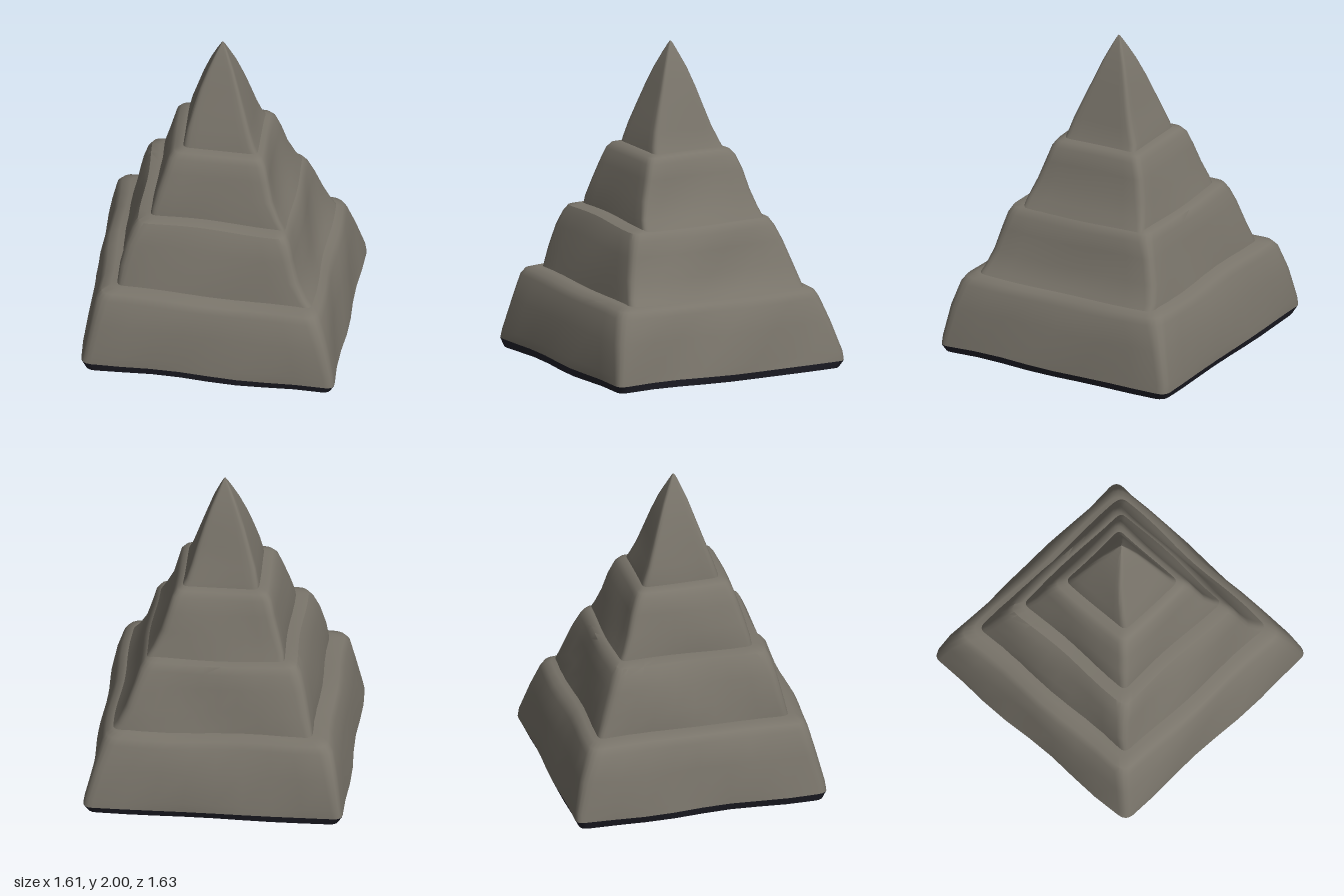
import * as THREE from 'three';
import { toCreasedNormals } from 'three/addons/utils/BufferGeometryUtils.js';

const EDGE = 8, ARC = 4;

// One worn, rounded, slightly skewed square outline.
// y: height, tilt: rise per unit of x, then the x and z limits and corner radius
function ring([y, tilt, x0, x1, z0, z1, r]) {
  const corners = [
    new THREE.Vector2(x0, z0),
    new THREE.Vector2(x0 * 0.94, z1 * 0.95),
    new THREE.Vector2(x1, z1),
    new THREE.Vector2(x1 * 0.985, z0 * 0.97),
  ];
  const pts = [];
  const toward = (a, b) => a.clone().add(b.clone().sub(a).setLength(r));
  for (let i = 0; i < 4; i++) {
    const prev = corners[(i + 3) % 4], c = corners[i], next = corners[(i + 1) % 4];
    const arc = new THREE.QuadraticBezierCurve(toward(c, prev), c, toward(c, next));
    pts.push(...arc.getPoints(ARC));
    const start = toward(c, next), end = toward(next, c);
    for (let k = 1; k < EDGE; k++) pts.push(start.clone().lerp(end, k / EDGE));
  }
  // Gentle hand-carved waviness that fades toward the tip
  const amp = 0.008 * Math.min(1, x1 * 2);
  return pts.map(({ x, y: z }) => new THREE.Vector3(
    x + amp * Math.sin(z * 8 + y * 9),
    y + tilt * x + amp * 0.6 * Math.sin(x * 7 + z * 5),
    z + amp * Math.sin(x * 7 - y * 8)));
}

// Skin a stack of outlines from bottom to top, with optional end caps
function loft(rows, { top = false, bottom = false } = {}) {
  const rings = rows.map(ring), n = rings[0].length;
  const pos = rings.flat().flatMap((p) => p.toArray());
  const index = [];
  for (let i = 0; i < rings.length - 1; i++) {
    for (let j = 0; j < n; j++) {
      const a = i * n + j, b = i * n + (j + 1) % n;
      index.push(a, b, b + n, a, b + n, a + n);
    }
  }
  const cap = (row, up) => {
    const mid = new THREE.Vector3();
    rings[row].forEach((p) => mid.addScaledVector(p, 1 / n));
    const c = pos.length / 3;
    pos.push(...mid.toArray());
    for (let j = 0; j < n; j++) {
      const a = row * n + j, b = row * n + (j + 1) % n;
      index.push(...(up ? [c, a, b] : [c, b, a]));
    }
  };
  if (top) cap(rings.length - 1, true);
  if (bottom) cap(0, false);
  const g = new THREE.BufferGeometry();
  g.setAttribute('position', new THREE.Float32BufferAttribute(pos, 3));
  g.setIndex(index);
  return toCreasedNormals(g, 0.7);
}

export function createModel() {
  const stone = new THREE.MeshStandardMaterial({ color: 0x79746a });
  stone.name = 'weathered stone';
  const dark = new THREE.MeshStandardMaterial({ color: 0x23232d });
  dark.name = 'dark underside';

  const group = new THREE.Group();
  group.name = 'steppedPyramid';
  const add = (name, material, rows, caps) => {
    const mesh = new THREE.Mesh(loft(rows, caps), material);
    mesh.name = name;
    group.add(mesh);
  };

  const lowerEdge = [0.075, -0.025, -0.81, 0.805, -0.815, 0.82, 0.06];

  // Dark chamfer and flat underside
  add('underside', dark, [
    [0.025, -0.02, -0.78, 0.785, -0.79, 0.8, 0.06],
    lowerEdge,
  ], { bottom: true });

  // Broad base step
  add('baseStep', stone, [
    lowerEdge,
    [0.13, -0.025, -0.802, 0.795, -0.81, 0.815, 0.06],
    [0.32, -0.03, -0.765, 0.755, -0.765, 0.775, 0.07],
    [0.47, -0.04, -0.725, 0.715, -0.715, 0.735, 0.08],
    [0.51, -0.04, -0.695, 0.69, -0.69, 0.71, 0.08],
    [0.53, -0.04, -0.64, 0.65, -0.65, 0.66, 0.08],
    [0.54, -0.03, -0.5, 0.5, -0.5, 0.5, 0.06],
  ], { top: true });

  // Second step, its right foot flaring into the ledge below
  add('secondStep', stone, [
    [0.5, -0.03, -0.605, 0.665, -0.625, 0.635, 0.05],
    [0.56, -0.03, -0.597, 0.615, -0.61, 0.62, 0.05],
    [0.66, -0.03, -0.58, 0.565, -0.58, 0.595, 0.06],
    [0.8, -0.03, -0.54, 0.525, -0.54, 0.555, 0.06],
    [0.89, -0.03, -0.505, 0.5, -0.51, 0.525, 0.07],
    [0.935, -0.03, -0.475, 0.47, -0.485, 0.5, 0.07],
    [0.95, -0.03, -0.42, 0.44, -0.45, 0.45, 0.06],
    [0.955, -0.03, -0.3, 0.3, -0.3, 0.3, 0.05],
  ], { top: true });

  // Third step
  add('thirdStep', stone, [
    [0.93, -0.02, -0.4, 0.465, -0.445, 0.425, 0.04],
    [1.0, -0.02, -0.392, 0.42, -0.42, 0.412, 0.04],
    [1.1, -0.02, -0.37, 0.37, -0.385, 0.385, 0.05],
    [1.22, -0.02, -0.335, 0.335, -0.35, 0.35, 0.05],
    [1.31, -0.02, -0.305, 0.31, -0.315, 0.32, 0.05],
    [1.345, -0.02, -0.275, 0.285, -0.29, 0.295, 0.05],
    [1.36, -0.02, -0.22, 0.25, -0.25, 0.25, 0.04],
    [1.36, -0.02, -0.12, 0.12, -0.12, 0.12, 0.03],
  ], { top: true });

  // Pointed capstone with gently bowed faces
  add('capstone', stone, [
    [1.335, 0, -0.222, 0.265, -0.258, 0.255, 0.04],
    [1.39, 0, -0.216, 0.235, -0.243, 0.24, 0.04],
    [1.48, 0, -0.196, 0.205, -0.205, 0.212, 0.035],
    [1.6, 0, -0.16, 0.168, -0.163, 0.168, 0.03],
    [1.72, 0, -0.12, 0.13, -0.123, 0.124, 0.025],
    [1.84, 0, -0.07, 0.09, -0.08, 0.08, 0.02],
    [1.93, 0, -0.028, 0.052, -0.04, 0.04, 0.015],
    [1.985, 0, 0.002, 0.026, -0.013, 0.013, 0.005],
    [2.0, 0, 0.011, 0.017, -0.003, 0.003, 0.001],
  ], { top: true });

  return group;
}
